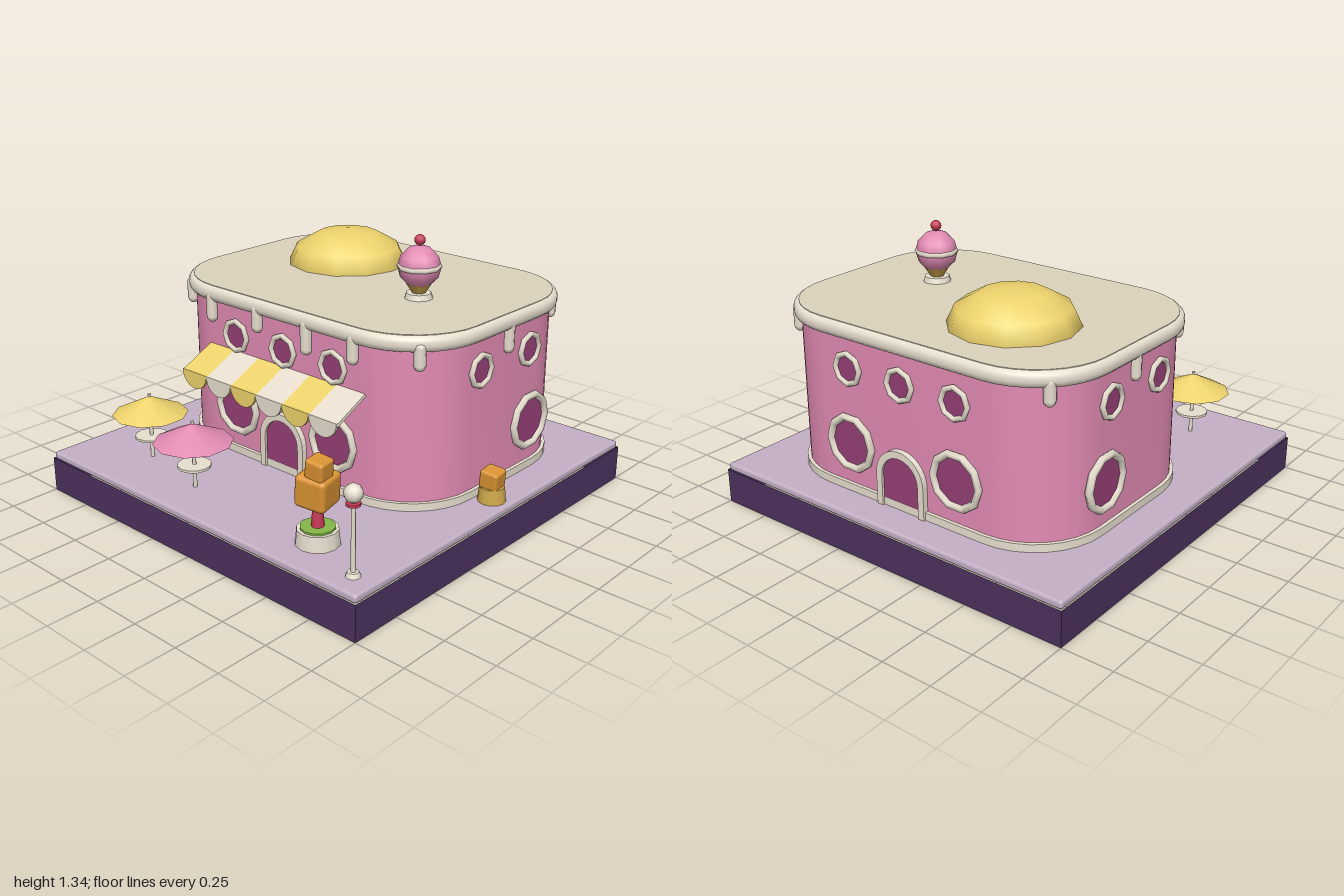
import * as THREE from 'three';
import { toCreasedNormals } from 'three/addons/utils/BufferGeometryUtils.js';
import { RoundedBoxGeometry } from 'three/addons/geometries/RoundedBoxGeometry.js';

const paint = (color, side = THREE.FrontSide) => new THREE.MeshStandardMaterial({ color, side });
const cream = paint(0xe8dfcf), pink = paint(0xe38bb4), plum = paint(0x963f76), yellow = paint(0xeed36c);
const orange = paint(0xdc9433), red = paint(0xc83a58), green = paint(0x86b848), lilac = paint(0xc4b0c6);
const tan = paint(0xddd3bd), gold = paint(0xcfa84a), indigo = paint(0x4c325f, THREE.DoubleSide);
const GROUND = 0.205, CZ = -0.22;

function add(parent, name, geometry, material, x = 0, y = 0, z = 0) {
  const m = new THREE.Mesh(geometry, material);
  m.name = name;
  m.position.set(x, y, z);
  parent.add(m);
  return m;
}

function group(parent, name, x = 0, y = 0, z = 0) {
  const g = new THREE.Group();
  g.name = name;
  g.position.set(x, y, z);
  parent.add(g);
  return g;
}

// Cylinder standing between two heights
function post(parent, name, rTop, rBottom, y0, y1, material, sides = 10) {
  return add(parent, name, new THREE.CylinderGeometry(rTop, rBottom, y1 - y0, sides), material, 0, (y0 + y1) / 2, 0);
}

// Horizontal slab with rounded corners and an optional rounded rim
function slab(hx, hz, r, y0, y1, b = 0) {
  const s = new THREE.Shape(), cx = hx - r, cz = hz - r, q = Math.PI / 2;
  [[1, 1], [-1, 1], [-1, -1], [1, -1]].forEach(([sx, sz], i) =>
    s.absarc(sx * cx, sz * cz, r - b, i * q, (i + 1) * q, false));
  s.closePath();
  const g = new THREE.ExtrudeGeometry(s, {
    depth: y1 - y0 - 2 * b, curveSegments: 4, bevelEnabled: b > 0,
    bevelThickness: b, bevelSize: b, bevelSegments: 3,
  });
  g.rotateX(-Math.PI / 2).translate(0, y0 + b, 0);
  return toCreasedNormals(g, 0.7);
}

function roundWindow(wall, x, y, radius, tube, sides) {
  const w = group(wall, 'window', x, y, 0);
  add(w, 'windowGlass', new THREE.CircleGeometry(radius, sides), plum, 0, 0, 0.008);
  add(w, 'windowFrame', new THREE.TorusGeometry(radius, tube, 6, sides), cream, 0, 0, 0.008);
}

function archShape(w, top) {
  const s = new THREE.Shape();
  s.moveTo(-w, GROUND);
  s.lineTo(w, GROUND);
  s.absarc(0, top - w, w, 0, Math.PI, false);
  s.closePath();
  return s;
}

function doorway(wall) {
  const d = group(wall, 'door');
  const opts = (depth) => ({ depth, bevelEnabled: false, curveSegments: 8 });
  const frame = archShape(0.14, 0.503);
  frame.holes.push(archShape(0.107, 0.468));
  add(d, 'doorFrame', new THREE.ExtrudeGeometry(frame, opts(0.04)), cream, 0, 0, -0.012);
  add(d, 'doorPanel', new THREE.ExtrudeGeometry(archShape(0.11, 0.471), opts(0.03)), plum, 0, 0, -0.014);
}

function awning(parent) {
  const a = group(parent, 'awning');
  const w = 1 / 6, rise = 0.09, run = 0.185;
  const half = new THREE.Shape();
  half.absarc(0, 0, w / 2, Math.PI, 2 * Math.PI, false);
  half.closePath();
  for (let i = 0; i < 6; i++) {
    const mat = i % 2 ? cream : yellow, x = -0.5 + w * (i + 0.5);
    const s = add(a, 'awningStripe', new THREE.BoxGeometry(w, 0.015, Math.hypot(rise, run)), mat, x, 0.685, 0.375 + run / 2);
    s.rotation.x = Math.atan2(rise, run);
    add(a, 'awningScallop', new THREE.ExtrudeGeometry(half, { depth: 0.014, bevelEnabled: false, curveSegments: 8 }),
      mat, x, 0.653, 0.55);
  }
}

function parasol(parent, x, z, r, color) {
  const p = group(parent, 'parasolTable', x, 0, z);
  post(p, 'pole', 0.008, 0.01, GROUND, 0.535, cream, 8);
  post(p, 'tableTop', 0.08, 0.08, 0.31, 0.322, cream, 12);
  const canopy = new THREE.ConeGeometry(r, 0.09, 10, 1, true);
  add(p, 'canopy', canopy, paint(color, THREE.DoubleSide), 0, 0.48, 0);
}

function candyBlock(parent, size, x, y, z, rx, ry, rz) {
  const b = add(parent, 'candyBlock', new RoundedBoxGeometry(size, size, size, 2, size * 0.15), orange, x, y, z);
  b.rotation.set(rx, ry, rz);
}

export function createModel() {
  const model = new THREE.Group();
  model.name = 'sweetShop';

  // Hollow plinth, open below, with the paved slab on top
  const plinth = new THREE.CylinderGeometry(Math.SQRT2, Math.SQRT2, 0.172, 4, 1, true).toNonIndexed();
  plinth.rotateY(Math.PI / 4).computeVertexNormals();
  add(model, 'plinth', plinth, indigo, 0, 0.086, 0);
  add(model, 'pavement', new RoundedBoxGeometry(1.99, 0.04, 1.99, 2, 0.014), lilac, 0, 0.187, 0);

  // Shop body
  const shop = group(model, 'shop', 0, 0, CZ);
  add(shop, 'walls', slab(0.815, 0.597, 0.35, GROUND, 0.98), pink);
  add(shop, 'skirting', slab(0.832, 0.614, 0.367, GROUND, 0.245), cream);
  add(shop, 'roofRim', slab(0.85, 0.63, 0.385, 0.957, 1.034, 0.03), cream);
  add(shop, 'roofTop', slab(0.825, 0.605, 0.36, 1.0, 1.036), tan);

  // Front and back walls carry a door and five windows each
  for (const [z, turn] of [[0.597, 0], [-0.597, Math.PI]]) {
    const wall = group(shop, turn ? 'backWall' : 'frontWall', 0, 0, z);
    wall.rotation.y = turn;
    for (const x of [-0.312, 0, 0.312]) roundWindow(wall, x, 0.815, 0.073, 0.014, 8);
    for (const x of [-0.312, 0.312]) roundWindow(wall, x, 0.45, 0.128, 0.019, 10);
    doorway(wall);
  }

  // Side walls mirror each other
  for (const s of [1, -1]) {
    const wall = group(shop, s > 0 ? 'leftWall' : 'rightWall', s * 0.815, 0, 0);
    wall.rotation.y = s * Math.PI / 2;
    for (const x of [-0.19, 0.185]) roundWindow(wall, s * x, 0.815, 0.073, 0.014, 8);
    roundWindow(wall, s * 0.215, 0.45, 0.128, 0.019, 10);
  }

  // Icing drips: x, z, lowest point
  const drips = [[-0.47, 0.388, 0.853], [-0.16, 0.388, 0.868], [0.155, 0.388, 0.835], [0.435, 0.388, 0.858],
    [0.822, -0.23, 0.842], [-0.822, -0.23, 0.852]];
  for (const x of [-0.725, 0.725]) drips.push([x, 0.285, 0.873], [x, -0.715, 0.873]);
  for (const [x, z, low] of drips) {
    const len = 0.98 - low - 0.028;
    add(model, 'icingDrip', new THREE.CapsuleGeometry(0.028, len, 3, 8), cream, x, 0.98 - len / 2, z);
  }

  awning(model);

  // Roof dome
  const dome = add(model, 'roofDome', new THREE.SphereGeometry(0.305, 12, 3, 0, 2 * Math.PI, 0, Math.PI / 2),
    yellow, -0.285, 1.032, -0.38);
  dome.scale.y = 0.57;

  // Rooftop ice cream
  const ice = group(model, 'iceCream', 0.385, 0, -0.125);
  post(ice, 'foot', 0.06, 0.07, 1.03, 1.062, cream);
  post(ice, 'cone', 0.078, 0.025, 1.05, 1.135, gold);
  add(ice, 'scoop', new THREE.SphereGeometry(0.102, 10, 6), pink, 0, 1.185, 0);
  const band = add(ice, 'creamBand', new THREE.TorusGeometry(0.092, 0.014, 6, 10), cream, 0, 1.187, 0);
  band.rotation.x = Math.PI / 2;
  add(ice, 'cherry', new THREE.SphereGeometry(0.026, 10, 8), red, 0, 1.31, 0);

  parasol(model, -0.595, 0.7, 0.183, 0xeed36c);
  parasol(model, -0.19, 0.78, 0.187, 0xe38bb4);

  // Candy tree in a round pot
  const tree = group(model, 'candyTree', 0.592, 0, 0.78);
  post(tree, 'pot', 0.093, 0.1, GROUND, 0.278, cream, 12);
  post(tree, 'soil', 0.078, 0.078, 0.26, 0.287, green, 12);
  post(tree, 'trunk', 0.02, 0.03, 0.28, 0.4, red, 8);
  candyBlock(tree, 0.15, 0, 0.46, 0, 0.05, 0.2, -0.08);
  candyBlock(tree, 0.092, 0.027, 0.568, 0.018, 0.08, 0.1, -0.12);

  // Small planter beside the shop
  const planter = group(model, 'planter', 0.905, 0, -0.035);
  post(planter, 'pot', 0.058, 0.066, GROUND, 0.278, gold, 12);
  candyBlock(planter, 0.092, 0, 0.315, 0, 0.06, 0.08, -0.1);

  // Street lamp
  const lamp = group(model, 'streetLamp', 0.885, 0, 0.885);
  post(lamp, 'lampFoot', 0.025, 0.034, GROUND, 0.228, cream);
  post(lamp, 'lampPole', 0.009, 0.011, GROUND, 0.54, cream, 8);
  post(lamp, 'lampCollar', 0.032, 0.032, 0.525, 0.537, red);
  add(lamp, 'lampGlobe', new THREE.SphereGeometry(0.041, 10, 8), cream, 0, 0.577, 0);

  return model;
}
